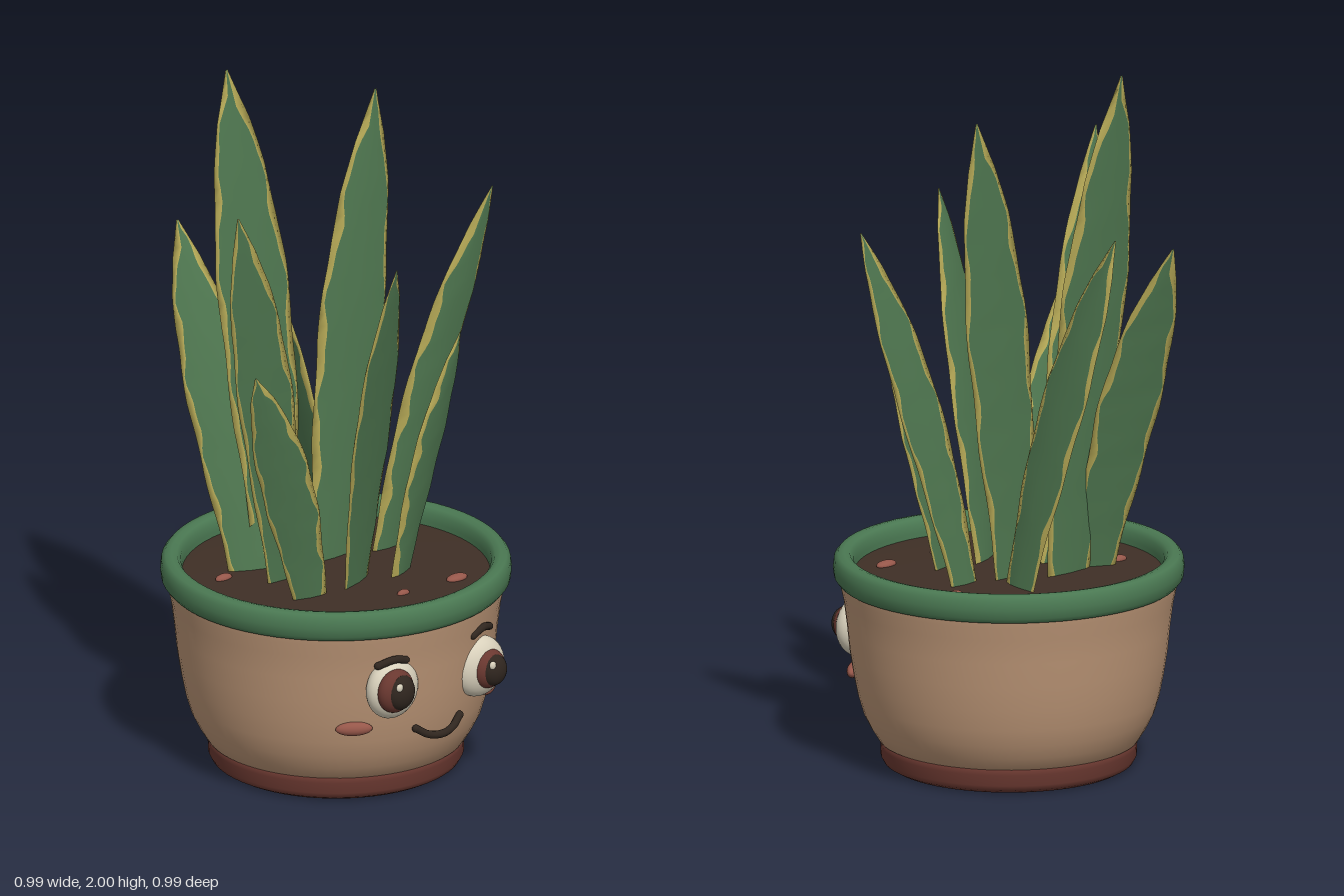
import * as THREE from 'three';

const mat = (name, color, side = THREE.FrontSide) => {
  const m = new THREE.MeshStandardMaterial({ color, side });
  m.name = name;
  return m;
};

export function createModel() {
  const clay = mat('clay', 0xba9475);
  const rimGreen = mat('rimGreen', 0x4a7852);
  const leafGreen = mat('leafGreen', 0x4f7750, THREE.DoubleSide);
  const leafYellow = mat('leafYellow', 0xb9ac58, THREE.DoubleSide);
  const soilBrown = mat('soilBrown', 0x3f2f26);
  const footBrown = mat('footBrown', 0x6a3830);
  const blush = mat('blush', 0x96574a);
  const ivory = mat('ivory', 0xd9d1bc);
  const dark = mat('dark', 0x30261f);

  const model = new THREE.Group();
  model.name = 'pottedPlant';
  const add = (parent, name, geo, material, pos = [0, 0, 0]) => {
    const m = new THREE.Mesh(geo, material);
    m.name = name;
    m.position.set(...pos);
    parent.add(m);
    return m;
  };
  const group = (name, x, y, z) => {
    const g = new THREE.Group();
    g.name = name;
    g.position.set(x, y, z);
    model.add(g);
    return g;
  };
  const blob = (parent, name, material, pos, radii) => {
    const m = add(parent, name, new THREE.SphereGeometry(1, 28, 18), material, pos);
    m.scale.set(...radii);
    return m;
  };
  const lathe = (pts) =>
    new THREE.LatheGeometry(pts.map(([r, y]) => new THREE.Vector2(r, y)), 64);

  // Pot: foot, body, rim and soil, turned around one axis
  const pot = group('pot', -0.005, 0, -0.01);
  add(pot, 'foot', lathe([[0, 0.015], [0.28, 0.015], [0.305, 0.003], [0.33, 0], [0.348, 0.01],
    [0.356, 0.025], [0.357, 0.055], [0.36, 0.075], [0.34, 0.08]]), footBrown);
  add(pot, 'body', lathe([[0.34, 0.07], [0.362, 0.073], [0.385, 0.11], [0.405, 0.15], [0.42, 0.2],
    [0.432, 0.26], [0.443, 0.33], [0.45, 0.4], [0.459, 0.47], [0.468, 0.51], [0.47, 0.54]]), clay);
  add(pot, 'rim', lathe([[0.455, 0.522], [0.475, 0.526], [0.486, 0.54], [0.489, 0.565], [0.486, 0.59],
    [0.475, 0.603], [0.458, 0.606], [0.442, 0.602], [0.432, 0.588], [0.429, 0.565], [0.429, 0.53]]), rimGreen);
  add(pot, 'soil', lathe([[0.44, 0.55], [0.4, 0.553], [0.25, 0.558], [0, 0.56]]), soilBrown);

  // Pebbles on the soil
  for (const [x, z, r] of [[-0.285, -0.165, 0.028], [0.3, -0.095, 0.024], [0.2, 0.265, 0.035], [0.01, 0.255, 0.021]])
    blob(model, 'pebble', blush, [x, 0.557, z], [r, 0.012, r * 0.55]);

  // Leaf: lens-shaped sections swept along a bent midline, with wavy yellow margins
  const profile = [0.62, 0.7, 0.8, 0.9, 0.97, 1, 0.98, 0.89, 0.72, 0.45, 0.03];
  const widthAt = (t) => {
    const f = Math.min(t * 10, 9.999), i = Math.floor(f);
    return THREE.MathUtils.lerp(profile[i], profile[i + 1], f - i);
  };
  const leaf = (name, base, tip, width, dir, marginL, marginR, phase) => {
    const b = new THREE.Vector3(...base), e = new THREE.Vector3(...tip);
    const mid = b.clone().lerp(e, 0.35).setY((b.y + e.y) / 2);
    const curve = new THREE.QuadraticBezierCurve3(b, mid, e);
    const u = new THREE.Vector3(dir[0], 0, dir[1]).normalize();
    const steps = 40, pos = [], green = [], yellow = [];
    for (let i = 0; i <= steps; i++) {
      const t = i / steps, c = curve.getPoint(t);
      const n = u.clone().cross(curve.getTangent(t)).normalize();
      const s = widthAt(t), w = (width / 2) * s * (1 + 0.03 * Math.sin(t * 24 + phase));
      const h = 0.015 * s;
      const wave = (p) => 1 + 0.4 * Math.sin(t * 27 + p) + 0.2 * Math.sin(t * 61 + p);
      const l = -w + Math.min(marginL * wave(phase), w * 0.7);
      const r = w - Math.min(marginR * wave(phase + 2), w * 0.7);
      const edge = (x) => h * (1 - (x / w) ** 2) + 0.002 * s;
      for (const [x, d] of [[-w, 0], [l, edge(l)], [0, h], [r, edge(r)],
        [w, 0], [r, -edge(r)], [0, -h], [l, -edge(l)]]) {
        const p = c.clone().addScaledVector(u, x).addScaledVector(n, d);
        pos.push(p.x, p.y, p.z);
      }
    }
    for (let i = 0; i < steps; i++)
      for (let k = 0; k < 8; k++) {
        const a = i * 8 + k, q = i * 8 + ((k + 1) % 8);
        ([0, 3, 4, 7].includes(k) ? yellow : green).push(a, q, q + 8, a, q + 8, a + 8);
      }
    const g = new THREE.BufferGeometry();
    g.setAttribute('position', new THREE.Float32BufferAttribute(pos, 3));
    g.setIndex([...green, ...yellow]);
    g.addGroup(0, green.length, 0);
    g.addGroup(green.length, yellow.length, 1);
    g.computeVertexNormals();
    add(model, name, g, [leafGreen, leafYellow]);
  };
  const Y = 0.53, wide = 0.02, thin = 0.008;
  leaf('tallLeaf', [-0.085, Y, -0.16], [-0.155, 2, -0.3], 0.25, [1, 0.05], 0.014, wide, 0);
  leaf('tallRightLeaf', [0.04, Y, -0.08], [0.23, 1.9, -0.11], 0.235, [1, 0.03], wide, 0.012, 1);
  leaf('upperSideLeaf', [-0.155, Y, -0.05], [-0.44, 1.735, 0.07], 0.2, [1, 0], thin, wide, 2);
  leaf('rightSideLeaf', [0.2, Y, -0.04], [0.49, 1.6, 0.087], 0.155, [1, 0.05], wide, thin, 3);
  leaf('frontLeaf', [-0.03, Y, 0.1], [-0.09, 1.57, 0.34], 0.22, [0.93, -0.35], 0.01, 0.016, 4);
  leaf('lowerSideLeaf', [-0.195, Y, 0.1], [-0.49, 1.31, 0.2], 0.165, [0.96, 0.22], thin, 0.016, 5);
  leaf('shortFrontLeaf', [0.105, Y, 0.13], [0.28, 1.25, 0.19], 0.155, [0.95, -0.3], 0.018, thin, 6);
  leaf('rearRightLeaf', [0.125, Y, -0.17], [-0.02, 1.57, -0.405], 0.2, [0.2, -0.98], 0.018, 0.012, 7);
  leaf('rearLeftLeaf', [-0.19, Y, -0.16], [-0.2, 1.52, -0.455], 0.18, [0.85, 0.5], 0.014, 0.014, 8);

  // Eyes with iris, pupil and glint
  for (const [name, x, y, ix, iy, r] of [
    ['rightEye', -0.165, 0.365, -0.018, 0.005, 0.06], ['leftEye', 0.155, 0.348, 0.008, 0, 0.054]]) {
    const eye = group(name, x, y, 0.405);
    blob(eye, 'eyeball', ivory, [0, 0, 0], [0.086, 0.088, 0.052]);
    blob(eye, 'iris', footBrown, [ix, iy, 0.035], [r, r * 1.05, 0.037]);
    blob(eye, 'pupil', dark, [ix + 0.003, iy, 0.052], [r * 0.77, r * 0.85, 0.032]);
    blob(eye, 'glint', ivory, [ix - 0.02, iy + 0.025, 0.075], [0.011, 0.012, 0.007]);
  }

  // Brows, smile and cheeks
  const stroke = (name, points, radius) => {
    const curve = new THREE.CatmullRomCurve3(points.map((p) => new THREE.Vector3(...p)));
    add(model, name, new THREE.TubeGeometry(curve, 24, radius, 10), dark);
    for (const p of [points[0], points[points.length - 1]])
      blob(model, name + 'End', dark, p, [radius, radius, radius]);
  };
  stroke('rightBrow', [[-0.217, 0.442, 0.405], [-0.175, 0.456, 0.425], [-0.135, 0.447, 0.428]], 0.011);
  stroke('leftBrow', [[0.113, 0.455, 0.43], [0.155, 0.468, 0.425], [0.192, 0.458, 0.41]], 0.011);
  stroke('smile', [[-0.085, 0.225, 0.415], [-0.05, 0.203, 0.428], [-0.005, 0.196, 0.436],
    [0.04, 0.203, 0.428], [0.077, 0.225, 0.415]], 0.011);
  for (const side of [-1, 1]) {
    const cheek = blob(model, 'cheek', blush, [side * 0.25 - 0.005, 0.248, 0.347], [0.052, 0.02, 0.018]);
    cheek.rotation.y = side * 0.6;
  }
  return model;
}
